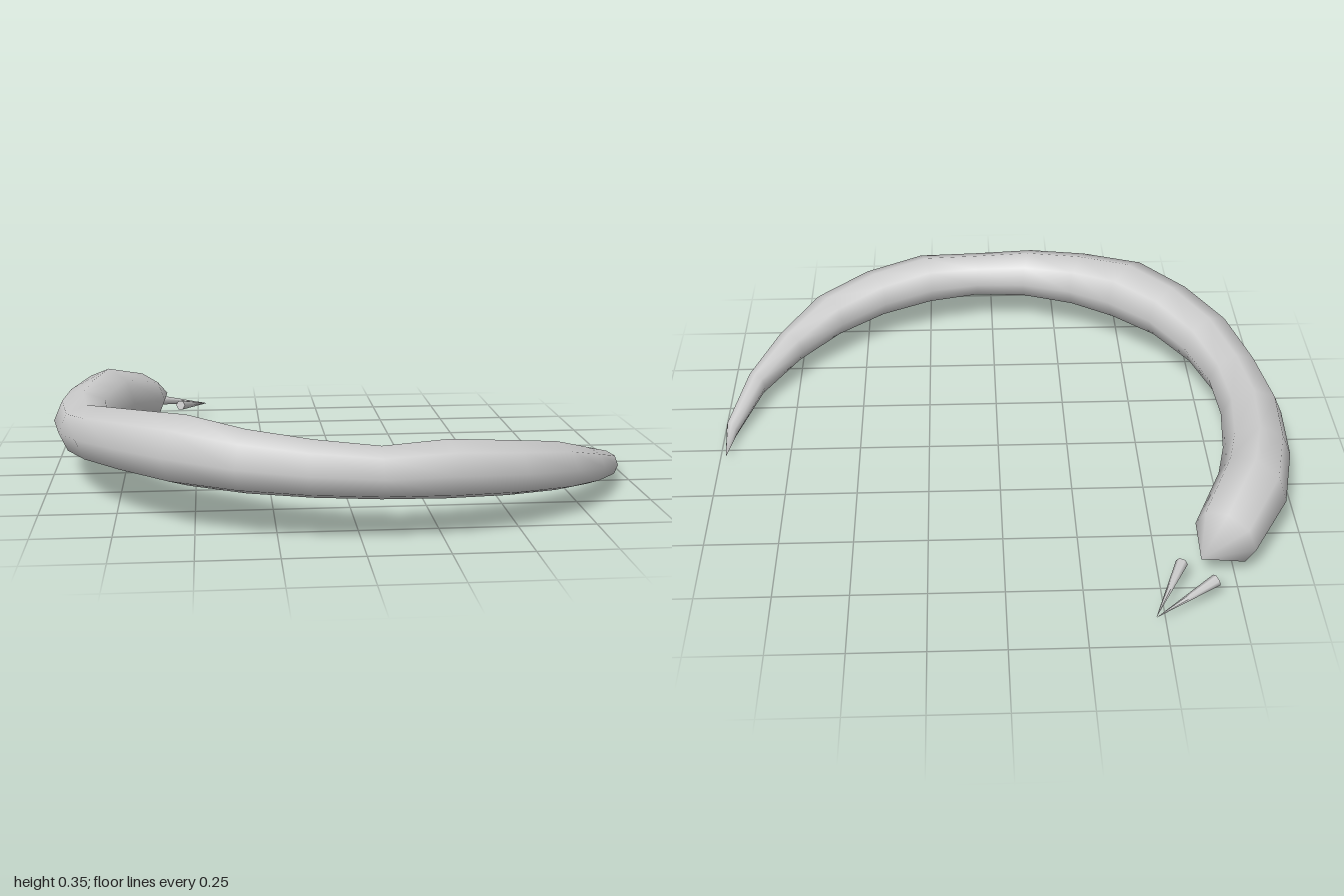
import * as THREE from 'three';

const SIDES = 8;
const HEAD_TIP = [-0.62, 0.13, -0.755];
const TAIL_TIP = [0.98, 0.01, -0.05];

// Body sections, head to tail: outer x, outer z, inner x, inner z, top y, bottom y
const SECTIONS = [
  [-0.80, -0.725, -0.625, -0.59, 0.23, 0.04],
  [-0.93, -0.53, -0.73, -0.38, 0.29, 0.045],
  [-0.99, -0.29, -0.765, -0.25, 0.28, 0.06],
  [-1.00, -0.07, -0.785, -0.07, 0.28, 0.08],
  [-0.96, 0.17, -0.77, 0.12, 0.28, 0.10],
  [-0.885, 0.39, -0.70, 0.28, 0.315, 0.12],
  [-0.76, 0.58, -0.585, 0.44, 0.34, 0.13],
  [-0.60, 0.75, -0.44, 0.56, 0.355, 0.13],
  [-0.38, 0.86, -0.30, 0.66, 0.33, 0.13],
  [-0.165, 0.92, -0.12, 0.73, 0.31, 0.13],
  [0.06, 0.93, 0.06, 0.755, 0.29, 0.125],
  [0.29, 0.91, 0.24, 0.72, 0.30, 0.115],
  [0.51, 0.83, 0.42, 0.66, 0.275, 0.10],
  [0.70, 0.70, 0.585, 0.565, 0.24, 0.08],
  [0.835, 0.52, 0.735, 0.445, 0.18, 0.055],
  [0.935, 0.33, 0.865, 0.28, 0.12, 0.03],
  [0.995, 0.12, 0.95, 0.07, 0.05, 0],
];

// Skin of elliptical rings, closed to a point at both ends
function bodyGeometry() {
  const positions = [...HEAD_TIP];
  for (const [ox, oz, ix, iz, top, bottom] of SECTIONS) {
    for (let j = 0; j < SIDES; j++) {
      const a = (j / SIDES) * Math.PI * 2;
      const c = Math.cos(a) / 2, s = Math.sin(a) / 2;
      positions.push(
        (ox + ix) / 2 + (ox - ix) * c,
        (top + bottom) / 2 + (top - bottom) * s,
        (oz + iz) / 2 + (oz - iz) * c,
      );
    }
  }
  positions.push(...TAIL_TIP);

  const last = SECTIONS.length - 1;
  const tail = SECTIONS.length * SIDES + 1;
  const at = (i, j) => 1 + i * SIDES + (j % SIDES);
  const index = [];
  for (let j = 0; j < SIDES; j++) {
    index.push(0, at(0, j), at(0, j + 1));
    for (let i = 0; i < last; i++) {
      index.push(at(i, j), at(i + 1, j), at(i, j + 1));
      index.push(at(i, j + 1), at(i + 1, j), at(i + 1, j + 1));
    }
    index.push(at(last, j), tail, at(last, j + 1));
  }
  const geometry = new THREE.BufferGeometry();
  geometry.setAttribute('position', new THREE.Float32BufferAttribute(positions, 3));
  geometry.setIndex(index);
  geometry.computeVertexNormals();
  return geometry;
}

// Slim cone from the centre of its base to its tip
function spike(name, base, tip, material) {
  const axis = tip.clone().sub(base);
  const mesh = new THREE.Mesh(new THREE.ConeGeometry(0.02, axis.length(), 6), material);
  mesh.name = name;
  mesh.position.copy(base).add(tip).multiplyScalar(0.5);
  mesh.quaternion.setFromUnitVectors(new THREE.Vector3(0, 1, 0), axis.normalize());
  return mesh;
}

export function createModel() {
  const model = new THREE.Group();
  model.name = 'curledSerpent';
  const material = new THREE.MeshStandardMaterial({ color: 0xcccccc });

  const body = new THREE.Mesh(bodyGeometry(), material);
  body.name = 'body';
  model.add(body);

  // Two tongue prongs meeting at one tip ahead of the head
  const tongue = new THREE.Group();
  tongue.name = 'tongue';
  const tip = new THREE.Vector3(-0.462, 0.047, -0.925);
  tongue.add(
    spike('rightProng', new THREE.Vector3(-0.665, 0.09, -0.808), tip, material),
    spike('leftProng', new THREE.Vector3(-0.567, 0.085, -0.72), tip, material),
  );
  model.add(tongue);
  return model;
}
